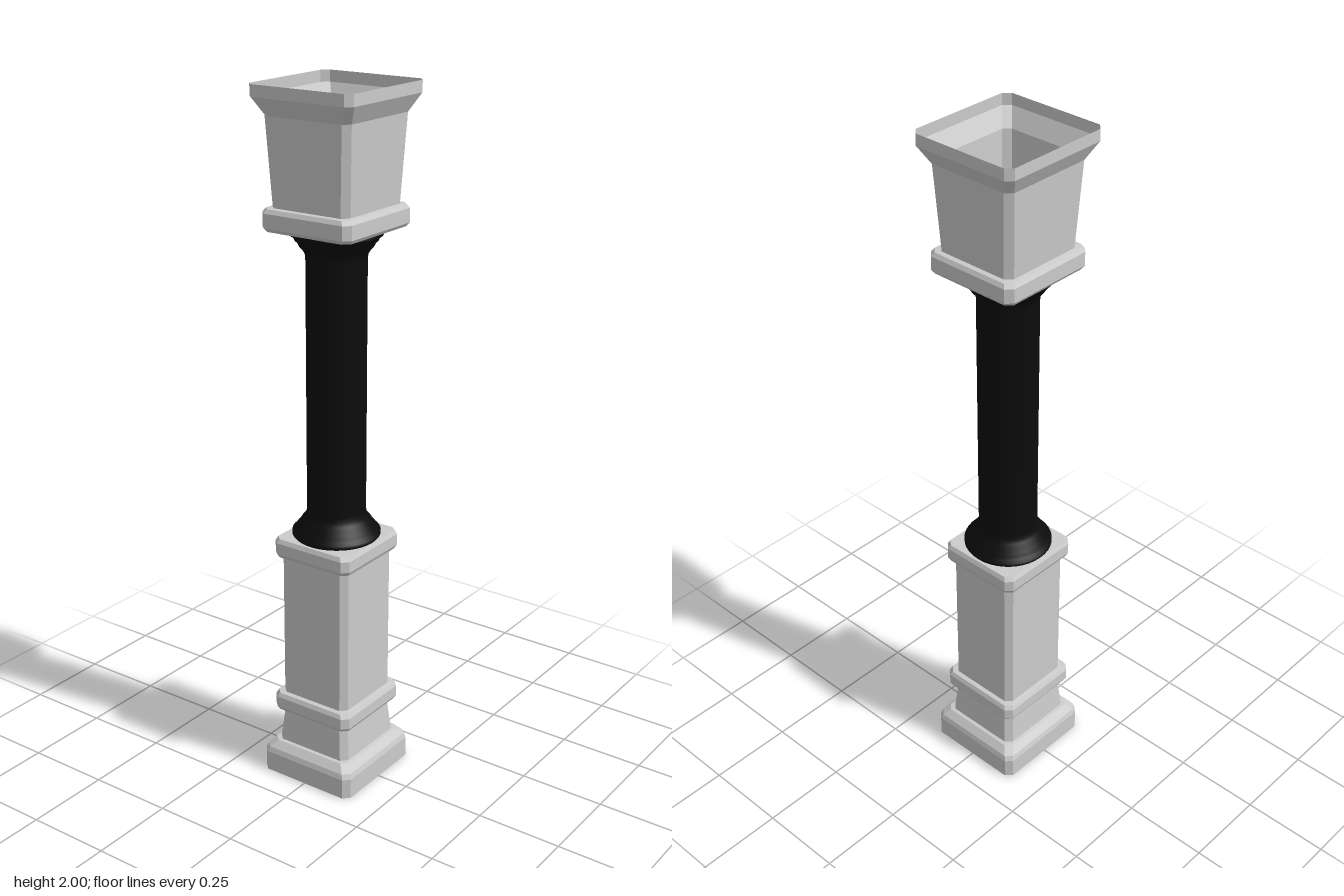
import * as THREE from 'three';

const DEPTH = 0.957; // square parts are slightly shallower than wide
const CHAMFER = 0.018;

const stone = new THREE.MeshStandardMaterial({ color: 0xcccccc, flatShading: true, side: THREE.DoubleSide });
const iron = new THREE.MeshStandardMaterial({ color: 0x0c0c0c });

// Chamfered rectangle, counter-clockwise seen from above
function section(half, y) {
  const x = half, z = half * DEPTH, c = CHAMFER;
  return [
    [x, z - c], [x, c - z], [x - c, -z], [c - x, -z],
    [-x, c - z], [-x, z - c], [c - x, z], [x - c, z],
  ].map(([px, pz]) => [px, y, pz]);
}

// Hollow loft through [halfWidth, y] rows listed upwards, optionally capped
function squareLoft(name, rows, { capTop = false, capBottom = false } = {}) {
  const rings = rows.map(([half, y]) => section(half, y));
  const pos = [];
  const tri = (a, b, c) => pos.push(...a, ...b, ...c);
  for (let r = 0; r < rings.length - 1; r++) {
    for (let i = 0; i < 8; i++) {
      const j = (i + 1) % 8;
      const a = rings[r][i], b = rings[r][j], c = rings[r + 1][j], d = rings[r + 1][i];
      tri(a, b, c);
      tri(a, c, d);
    }
  }
  const first = rings[0], last = rings[rings.length - 1];
  for (let i = 1; i < 7; i++) {
    if (capTop) tri(last[0], last[i], last[i + 1]);
    if (capBottom) tri(first[0], first[i + 1], first[i]);
  }
  const geo = new THREE.BufferGeometry();
  geo.setAttribute('position', new THREE.Float32BufferAttribute(pos, 3));
  geo.computeVertexNormals();
  const mesh = new THREE.Mesh(geo, stone);
  mesh.name = name;
  return mesh;
}

// Round shaft with the same stepped moulding at both ends
function roundShaft(bottom, top) {
  const foot = [
    [0.12, 0], [0.125, 0.006], [0.125, 0.014], [0.115, 0.02], [0.113, 0.028],
    [0.106, 0.034], [0.1, 0.046], [0.091, 0.056], [0.085, 0.066], [0.083, 0.08],
  ];
  const lower = foot.map(([r, h]) => new THREE.Vector2(r, bottom + h));
  const upper = foot.map(([r, h]) => new THREE.Vector2(r, top - h)).reverse();
  const mesh = new THREE.Mesh(new THREE.LatheGeometry([...lower, ...upper], 40), iron);
  mesh.name = 'roundShaft';
  return mesh;
}

export function createModel() {
  const group = new THREE.Group();
  group.name = 'column';
  group.add(
    // Open-bottomed pedestal: plinth, waist, belt, tall block and closed cap
    squareLoft('pedestal', [
      [0.16, 0], [0.16, 0.06], [0.155, 0.075], [0.137, 0.095], [0.127, 0.097],
      [0.117, 0.195], [0.131, 0.198], [0.137, 0.208], [0.137, 0.24], [0.131, 0.252],
      [0.118, 0.254], [0.118, 0.682], [0.128, 0.686], [0.134, 0.698],
      [0.134, 0.73], [0.128, 0.742],
    ], { capTop: true }),
    roundShaft(0.742, 1.62),
    // Open-topped capital: moulded ring, flaring cup and rim
    squareLoft('capital', [
      [0.143, 1.62], [0.15, 1.63], [0.15, 1.669], [0.143, 1.68],
      [0.13, 1.682], [0.143, 1.92], [0.17, 1.968], [0.17, 2],
    ], { capBottom: true }),
  );
  return group;
}
